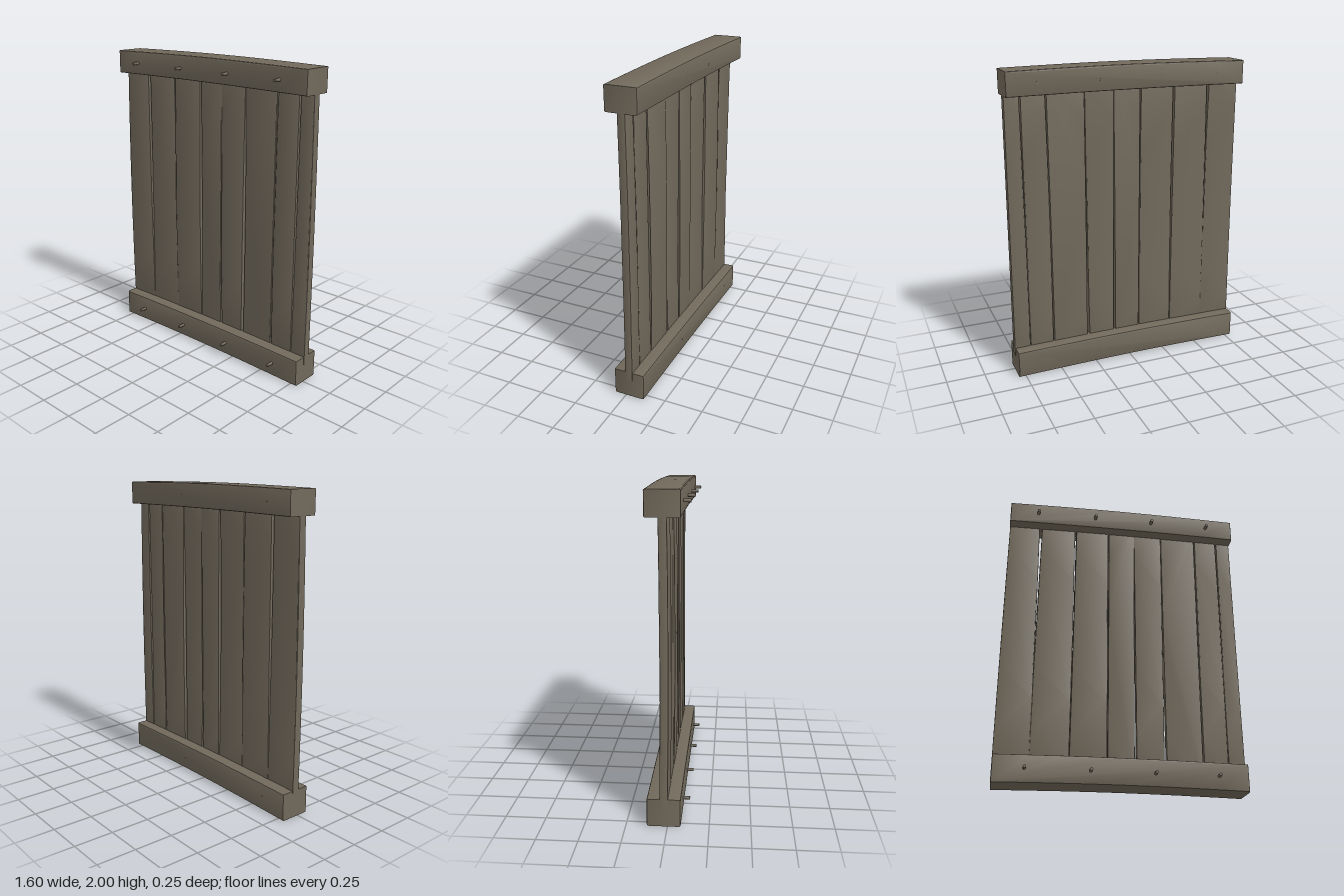
import * as THREE from 'three';
import { toCreasedNormals } from 'three/addons/utils/BufferGeometryUtils.js';

const STEPS = 8;

// Extrude an outline between two depths with softened edges inside its bounds.
function board(points, back, front, bevel, bow = 0) {
  const geo = new THREE.ExtrudeGeometry(new THREE.Shape(points), {
    depth: front - back - 2 * bevel, bevelEnabled: true, bevelSize: bevel,
    bevelThickness: bevel, bevelOffset: -bevel, bevelSegments: 2,
  });
  geo.translate(0, 0, back + bevel);
  // bend lengthways
  const p = geo.attributes.position;
  for (let i = 0; i < p.count; i++) {
    const t = THREE.MathUtils.clamp((p.getY(i) - 0.12) / 1.78, 0, 1);
    p.setZ(i, p.getZ(i) + bow * Math.sin(Math.PI * t));
  }
  geo.computeVertexNormals();
  return toCreasedNormals(geo, 0.6);
}

// Rail outline: lower and upper edges arch gently from the ends to the middle.
function railOutline(y0, y1, lift0, lift1) {
  const lower = [], upper = [];
  for (let i = 0; i <= STEPS; i++) {
    const x = -0.795 + 1.59 * i / STEPS;
    const arch = Math.sin(Math.PI * i / STEPS);
    lower.push(new THREE.Vector2(x, y0 + lift0 * arch));
    upper.unshift(new THREE.Vector2(x, y1 + lift1 * arch));
  }
  return [...lower, ...upper];
}

// Plank outline from left and right edges, each given as x at bottom, middle, top.
function plankOutline(left, right) {
  const curve = ([a, b, c], t) => a * (1 - t) * (1 - 2 * t) + 4 * b * t * (1 - t) + c * t * (2 * t - 1);
  const l = [], r = [];
  for (let i = 0; i <= STEPS; i++) {
    const t = i / STEPS, y = 0.12 + 1.78 * t;
    r.push(new THREE.Vector2(curve(right, t), y));
    l.unshift(new THREE.Vector2(curve(left, t), y));
  }
  return [...r, ...l];
}

export function createModel() {
  const group = new THREE.Group();
  const wood = new THREE.MeshStandardMaterial({ color: 0x71695b });
  wood.name = 'weathered wood';
  const add = (name, geo) => {
    const mesh = new THREE.Mesh(geo, wood);
    mesh.name = name;
    group.add(mesh);
    return mesh;
  };

  // Rails
  add('topRail', board(railOutline(1.838, 1.99, 0.006, 0.01), -0.125, 0.08, 0.01));
  add('bottomRail', board(railOutline(0, 0.175, 0.01, 0.008), -0.125, 0.08, 0.01));

  // Planks: left edge, right edge, bow
  const planks = [
    [[-0.797, -0.797, -0.793], [-0.573, -0.576, -0.587], 0.008],
    [[-0.575, -0.574, -0.568], [-0.33, -0.329, -0.336], -0.005],
    [[-0.327, -0.326, -0.324], [-0.092, -0.095, -0.099], 0.01],
    [[-0.088, -0.088, -0.091], [0.084, 0.088, 0.091], -0.004],
    [[0.098, 0.093, 0.09], [0.274, 0.28, 0.284], 0.006],
    [[0.291, 0.289, 0.286], [0.524, 0.528, 0.53], -0.007],
    [[0.533, 0.53, 0.538], [0.689, 0.691, 0.69], 0.004],
    [[0.693, 0.694, 0.7], [0.799, 0.797, 0.793], -0.005],
  ];
  planks.forEach(([left, right, bow], i) =>
    add(`plank${i + 1}`, board(plankOutline(left, right), -0.048, 0.002, 0.004, bow)));

  // Pegs through the rails
  const pegGeo = new THREE.CylinderGeometry(0.01, 0.01, 0.251, 10).rotateX(Math.PI / 2);
  for (const y of [0.092, 1.915]) {
    for (const x of [-0.6, -0.2, 0.2, 0.6]) {
      add('peg', pegGeo).position.set(x, y, 0);
    }
  }
  return group;
}
